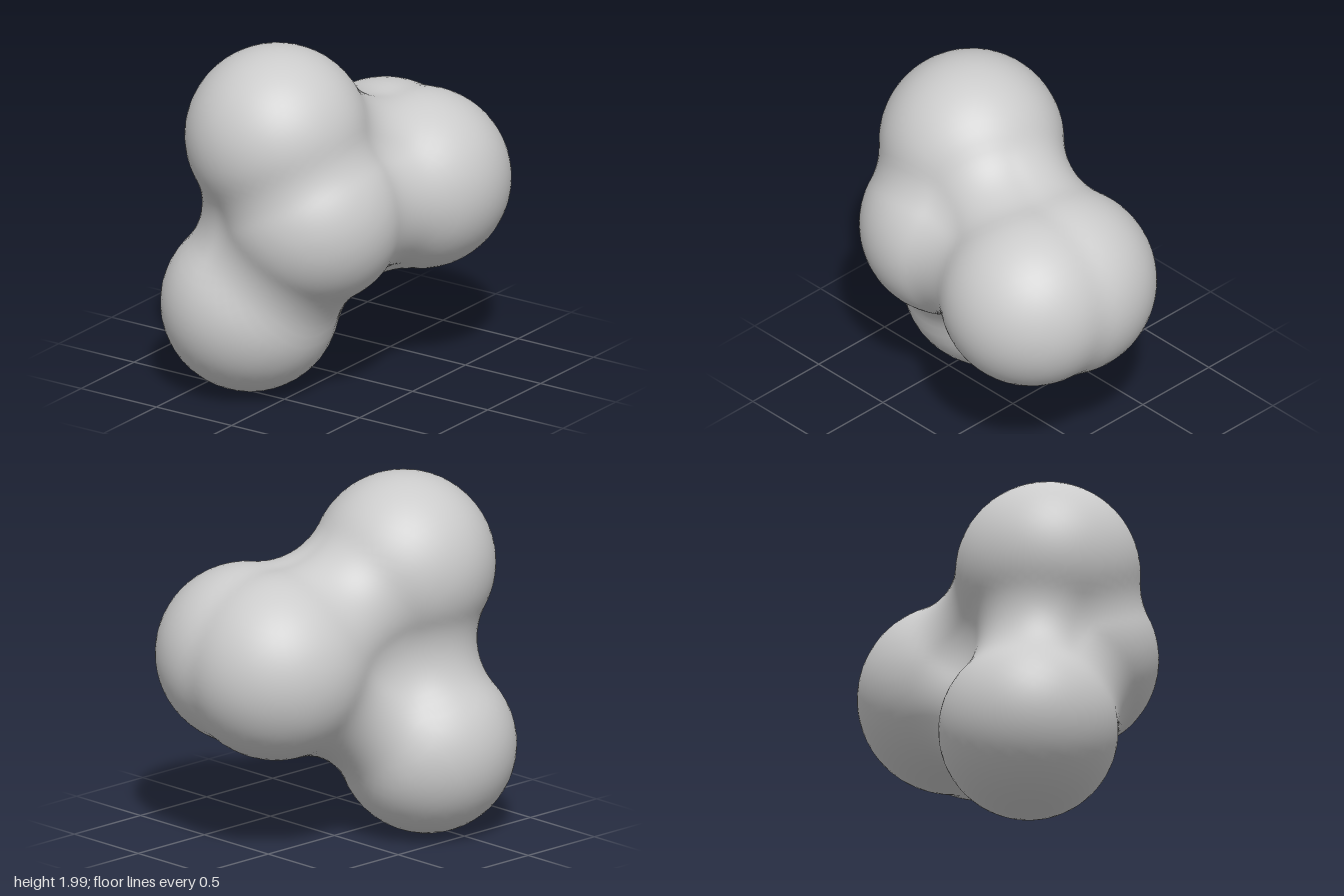
import * as THREE from 'three';
import { mergeVertices } from 'three/addons/utils/BufferGeometryUtils.js';

// Overlapping balls (x, y, z, radius) that make up the blob
const BALLS = [
  [-0.425, 1.49, -0.10, 0.505], // upper lobe
  [-0.44, 0.49, -0.27, 0.49],   // lower lobe
  [-0.38, 1.06, 0.10, 0.5],     // front bulge
  [0.41, 1.07, 0.26, 0.5],      // side lobe, front half
  [0.41, 1.05, 0.03, 0.52],     // side lobe, back half
].map(([x, y, z, r]) => ({ c: new THREE.Vector3(x, y, z), r }));
const PROBE = 0.41; // radius of the rolling ball that rounds the creases
const CENTRE = new THREE.Vector3(-0.15, 1.03, -0.02);

// Resting places of the rolling ball: around each ball, and along each crease
function probeCentres() {
  const found = [];
  const keep = (p) => {
    if (BALLS.every((b) => p.distanceTo(b.c) > b.r + PROBE - 1e-5)) found.push(p);
  };
  const n = 4000;
  BALLS.forEach((a, i) => {
    for (let k = 0; k < n; k++) {
      const y = 1 - (2 * k + 1) / n, s = Math.sqrt(1 - y * y), t = k * 2.399963;
      keep(new THREE.Vector3(s * Math.cos(t), y, s * Math.sin(t)).multiplyScalar(a.r + PROBE).add(a.c));
    }
    for (const b of BALLS.slice(i + 1)) {
      const axis = b.c.clone().sub(a.c), d = axis.length();
      axis.normalize();
      const ra = a.r + PROBE, rb = b.r + PROBE;
      const h = (d * d + ra * ra - rb * rb) / (2 * d);
      if (ra <= Math.abs(h)) continue;
      const radius = Math.sqrt(ra * ra - h * h);
      const u = new THREE.Vector3(-axis.y, axis.x, 0.3).cross(axis).normalize();
      const v = axis.clone().cross(u);
      for (let k = 0; k < 400; k++) {
        const t = (k / 400) * Math.PI * 2;
        keep(a.c.clone().addScaledVector(axis, h)
          .addScaledVector(u, radius * Math.cos(t)).addScaledVector(v, radius * Math.sin(t)));
      }
    }
  });
  return found;
}

export function createModel() {
  const group = new THREE.Group();
  group.name = 'fusedBlob';

  // Sphere whose vertices are pushed out until they touch the rolling ball
  let geo = new THREE.IcosahedronGeometry(1, 20);
  geo.deleteAttribute('uv');
  geo.deleteAttribute('normal');
  geo = mergeVertices(geo, 1e-4);
  const probes = probeCentres().map((p) => p.sub(CENTRE));
  const pos = geo.attributes.position, dir = new THREE.Vector3();
  for (let i = 0; i < pos.count; i++) {
    dir.fromBufferAttribute(pos, i).normalize();
    let reach = 2;
    for (const p of probes) {
      const along = p.dot(dir);
      if (along <= 0) continue;
      const disc = along * along - p.lengthSq() + PROBE * PROBE;
      if (disc > 0) reach = Math.min(reach, along - Math.sqrt(disc));
    }
    dir.multiplyScalar(reach).add(CENTRE);
    pos.setXYZ(i, dir.x, dir.y, dir.z);
  }
  geo.computeVertexNormals();

  const skin = new THREE.Mesh(geo, new THREE.MeshStandardMaterial({ color: 0xcccccc }));
  skin.name = 'blendedSurface';
  group.add(skin);
  return group;
}
